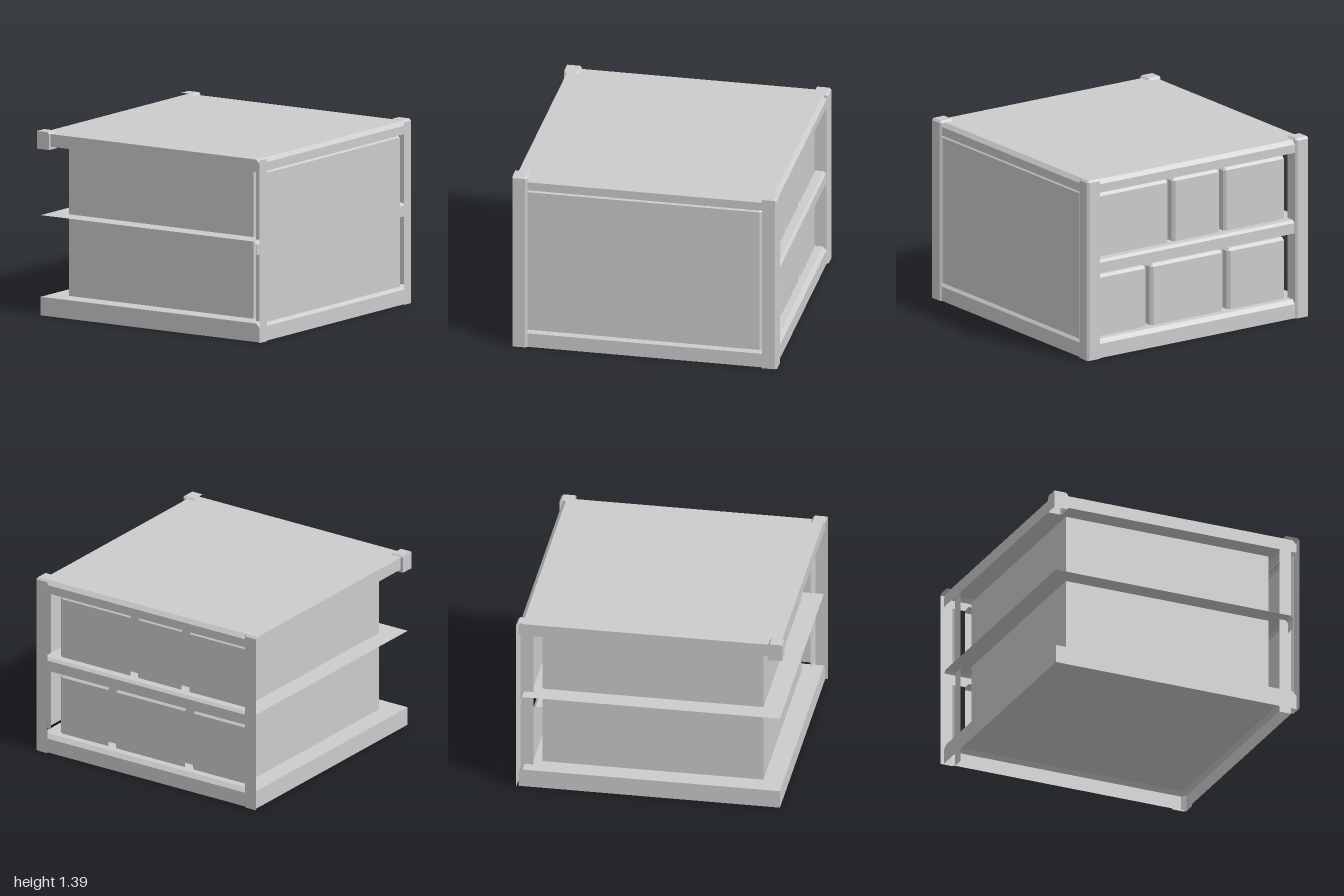
import * as THREE from 'three';

const grey = new THREE.MeshStandardMaterial({ color: 0xcccccc, side: THREE.DoubleSide });
grey.name = 'plain grey';

// Open shell with right, top and back faces and bevels of size c between them.
// Front and left faces are optional.
function shell(name, [x0, x1], [y0, y1], [z0, z1], c, { front = false, left = false } = {}) {
  const pos = [];
  const xi = x1 - c, yi = y1 - c, zi = z0 + c;
  const face = (...p) => {
    for (let i = 1; i < p.length - 1; i++) pos.push(...p[0], ...p[i], ...p[i + 1]);
  };
  face([x1, y0, z1], [x1, y0, zi], [x1, yi, zi], [x1, yi, z1]);            // right
  face([x0, y1, z1], [xi, y1, z1], [xi, y1, zi], [x0, y1, zi]);            // top
  face([xi, y0, z0], [x0, y0, z0], [x0, yi, z0], [xi, yi, z0]);            // back
  face([x1, yi, z1], [x1, yi, zi], [xi, y1, zi], [xi, y1, z1]);            // right-top bevel
  face([xi, yi, z0], [x0, yi, z0], [x0, y1, zi], [xi, y1, zi]);            // back-top bevel
  face([x1, y0, zi], [xi, y0, z0], [xi, yi, z0], [x1, yi, zi]);            // right-back bevel
  face([x1, yi, zi], [xi, yi, z0], [xi, y1, zi]);                          // corner
  if (front) face([x0, y0, z1], [x1, y0, z1], [x1, yi, z1], [xi, y1, z1], [x0, y1, z1]);
  if (left) face([x0, y0, z0], [x0, y0, z1], [x0, y1, z1], [x0, y1, zi], [x0, yi, z0]);
  const geo = new THREE.BufferGeometry();
  geo.setAttribute('position', new THREE.Float32BufferAttribute(pos, 3));
  geo.computeVertexNormals();
  const mesh = new THREE.Mesh(geo, grey);
  mesh.name = name;
  return mesh;
}

export function createModel() {
  const g = new THREE.Group();
  g.name = 'cabinet';
  const closed = { front: true, left: true };

  // Hollow base and top slabs
  g.add(shell('base', [-0.98, 0.985], [0, 0.14], [-0.985, 0.98], 0.03, closed));
  g.add(shell('top', [-0.98, 0.985], [1.28, 1.375], [-0.985, 0.98], 0.03, closed));

  // Thin middle shelf with a rail at the back and right
  g.add(shell('middleShelf', [-0.98, 0.96], [0.655, 0.755], [-0.98, 0.98], 0.02));

  // Corner posts; the front left one is only a short cap
  const low = [-1, -0.89], high = [0.89, 1], back = [-1, -0.89], front = [0.89, 1];
  g.add(shell('backLeftPost', low, [0, 1.39], back, 0.015));
  g.add(shell('backRightPost', high, [0, 1.39], back, 0.015));
  g.add(shell('frontRightPost', high, [0, 1.39], front, 0.015));
  g.add(shell('frontLeftCap', low, [1.257, 1.39], front, 0.015, closed));

  // Inner body
  const core = new THREE.Mesh(new THREE.BoxGeometry(1.655, 1.14, 1.66), grey);
  core.position.set(0, 0.71, 0);
  core.name = 'body';
  g.add(core);

  // Side panel
  g.add(shell('rightPanel', [0.94, 0.983], [0.14, 1.283], [-0.885, 0.89], 0.02));

  // Two rows of drawer fronts at the back
  const rows = [
    { y: [0.14, 0.61], spans: [[0.41, 0.85], [-0.285, 0.355], [-0.85, -0.345]] },
    { y: [0.755, 1.24], spans: [[0.21, 0.85], [-0.255, 0.155], [-0.85, -0.31]] },
  ];
  for (const { y, spans } of rows)
    for (const x of spans) g.add(shell('drawerFront', x, y, [-0.9, -0.83], 0.02));

  return g;
}
